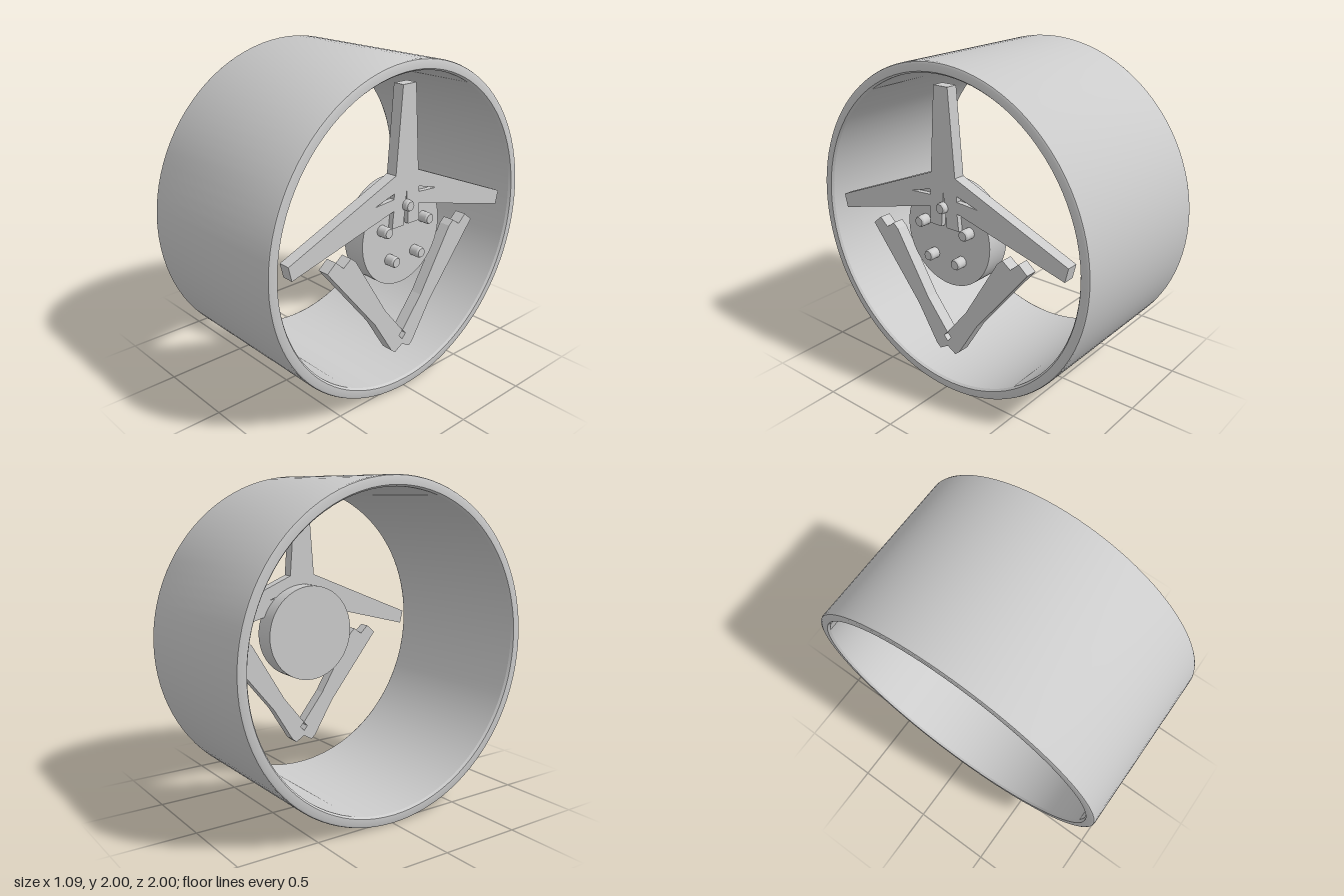
import * as THREE from 'three';
import { toCreasedNormals } from 'three/addons/utils/BufferGeometryUtils.js';

const material = new THREE.MeshStandardMaterial({ color: 0xcccccc });

function addPart(group, name, geometry) {
  const mesh = new THREE.Mesh(geometry, material);
  mesh.name = name;
  group.add(mesh);
  return mesh;
}

// Turned part around the wheel axis: points are [radius, x]
function turned(points, segments) {
  const profile = points.map(([r, x]) => new THREE.Vector2(r, x));
  const geometry = new THREE.LatheGeometry(profile, segments);
  geometry.rotateZ(-Math.PI / 2);
  return toCreasedNormals(geometry, 0.5);
}

// Flat plate facing +x: outline points are [across, height]
function plate(outline, holes, back, front) {
  const toVectors = (pts) => pts.map(([u, y]) => new THREE.Vector2(u, y));
  const shape = new THREE.Shape(toVectors(outline));
  for (const hole of holes) shape.holes.push(new THREE.Path(toVectors(hole)));
  const geometry = new THREE.ExtrudeGeometry(shape, { depth: front - back, bevelEnabled: false });
  geometry.translate(0, 0, back);
  geometry.rotateY(Math.PI / 2);
  return geometry;
}

const mirrored = (points) => points.map(([u, y]) => [-u, y]).reverse();

export function createModel() {
  const wheel = new THREE.Group();
  wheel.name = 'wheel';

  // Open barrel with softly rounded rims
  const barrel = addPart(wheel, 'barrel', turned([
    [0.935, -0.53], [0.945, -0.545], [0.985, -0.545], [0.996, -0.54], [1, -0.53],
    [1, 0.52], [0.996, 0.53], [0.985, 0.535], [0.945, 0.535], [0.935, 0.52], [0.935, -0.53],
  ], 96));
  barrel.position.y = 1;

  // Hub disc
  const hub = addPart(wheel, 'hub', turned([
    [0, 0.33], [0.31, 0.33], [0.31, 0.475], [0, 0.475],
  ], 64));
  hub.position.y = 1;

  // Three-armed upper spoke with forked foot and narrow slots
  const half = [
    [0.05, 1.87], [0.09, 1.37], [0.85, 1.06], [0.83, 0.975],
    [0.1, 1.165], [0.11, 1.06], [0.02, 1.06],
  ];
  const slot = [[0.245, 1.225], [0.1, 1.268], [0.1, 1.235]];
  addPart(wheel, 'upperSpokes', plate(
    [...half, [0, 1.27], ...mirrored(half)], [slot, mirrored(slot)], 0.435, 0.505));

  // Lower pair of spokes with stepped tips, meeting around a small gap
  const lower = [
    [0.59, 0.935], [0.53, 0.985], [0.475, 0.935], [0.42, 0.975], [0.385, 0.945],
    [0.15, 0.56], [0, 0.375], [0.028, 0.345], [0, 0.315], [0, 0.28],
    [0.06, 0.245], [0.09, 0.27], [0.23, 0.495],
  ];
  addPart(wheel, 'leftLowerSpoke', plate(mirrored(lower), [], 0.43, 0.503));
  addPart(wheel, 'rightLowerSpoke', plate(lower, [], 0.43, 0.503));

  // Five wheel bolts
  for (let i = 0; i < 5; i++) {
    const angle = (i / 5) * Math.PI * 2;
    const bolt = addPart(wheel, 'bolt', turned([
      [0, 0.44], [0.033, 0.44], [0.033, 0.53], [0.027, 0.54], [0, 0.54],
    ], 16));
    bolt.position.set(0, 1.005 + 0.175 * Math.cos(angle), 0.175 * Math.sin(angle));
  }

  return wheel;
}
